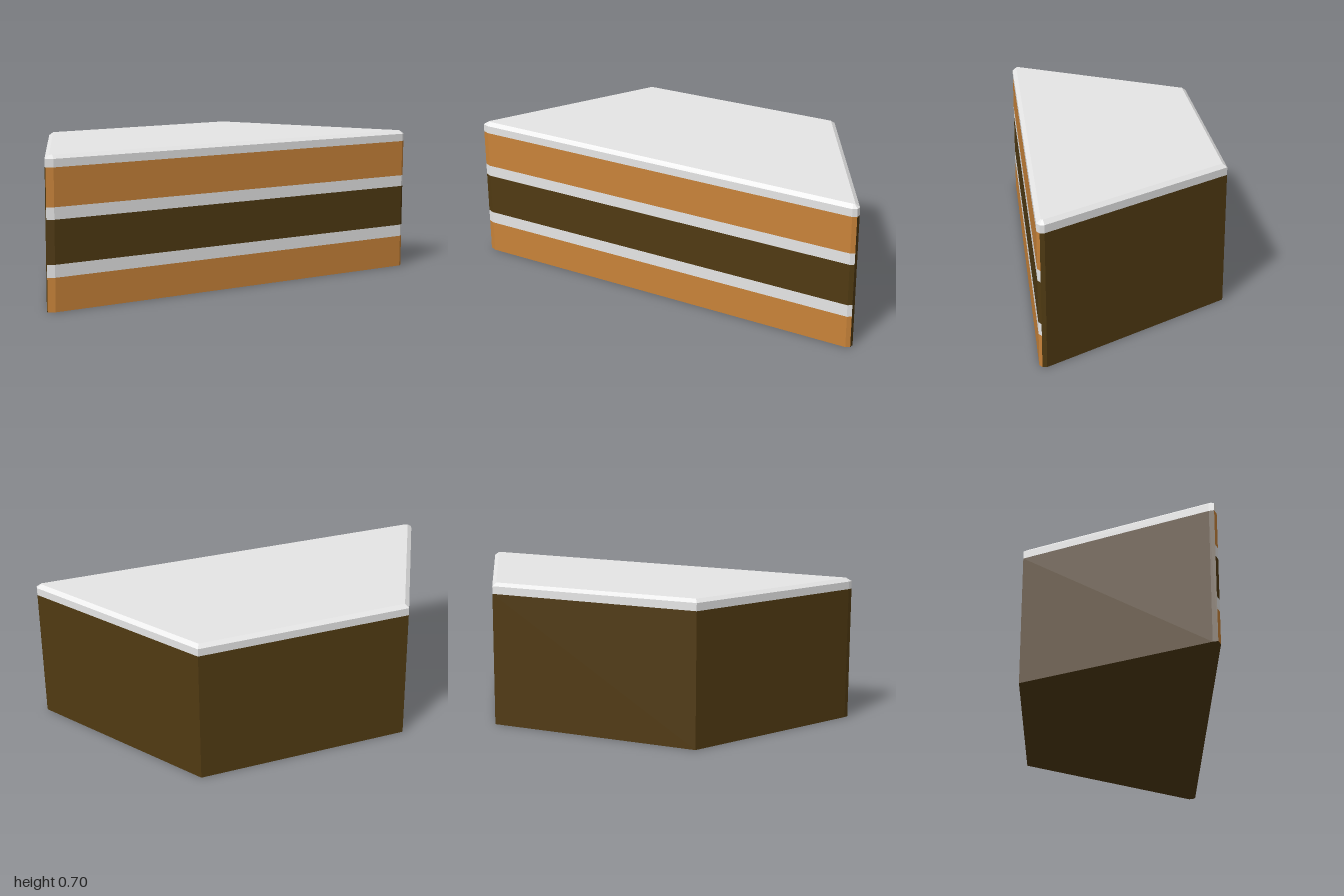
import * as THREE from 'three';

// Plan of the cake slice as [x, z], starting at the right front corner facet
// and running along the cut front to the left corner, then round the back.
const OUTLINE = [
  [1, 0.51], [0.995, 0.53], [0.975, 0.54],
  [-0.97, 0.28], [-1, 0.262], [-0.99, 0.24],
  [-0.445, -0.54], [0.6, -0.42],
];

// Moves every edge of a closed outline inward by d, with mitred corners.
function inset(points, d) {
  const n = points.length;
  const normal = (a, b) => {
    const v = new THREE.Vector2(b[1] - a[1], a[0] - b[0]);
    return v.normalize();
  };
  return points.map((p, i) => {
    const n1 = normal(points[(i + n - 1) % n], p);
    const n2 = normal(p, points[(i + 1) % n]);
    const k = d / (1 + n1.dot(n2));
    return [p[0] - (n1.x + n2.x) * k, p[1] - (n1.y + n2.y) * k];
  });
}

// Flat-sided wall between a lower and an upper path.
function wall(low, y0, high, y1) {
  const out = [];
  for (let i = 0; i < low.length - 1; i++) {
    const a = [low[i][0], y0, low[i][1]];
    const b = [low[i + 1][0], y0, low[i + 1][1]];
    const c = [high[i + 1][0], y1, high[i + 1][1]];
    const d = [high[i][0], y1, high[i][1]];
    out.push(...a, ...d, ...c, ...a, ...c, ...b);
  }
  return out;
}

// Flat polygon facing up or down.
function cap(points, y, up) {
  const out = [];
  for (let i = 1; i < points.length - 1; i++) {
    const order = up ? [0, i + 1, i] : [0, i, i + 1];
    for (const k of order) out.push(points[k][0], y, points[k][1]);
  }
  return out;
}

export function createModel() {
  const group = new THREE.Group();
  group.name = 'cakeSlice';

  const material = (name, color) => {
    const m = new THREE.MeshStandardMaterial({ color });
    m.name = name;
    return m;
  };
  const chocolate = material('chocolate', 0x503a12);
  const sponge = material('sponge', 0xc88339);
  const frosting = material('frosting', 0xe6e6e6);

  const add = (name, positions, mat) => {
    const geometry = new THREE.BufferGeometry();
    geometry.setAttribute('position', new THREE.Float32BufferAttribute(positions, 3));
    geometry.computeVertexNormals();
    const mesh = new THREE.Mesh(geometry, mat);
    mesh.name = name;
    group.add(mesh);
  };

  const loop = [...OUTLINE, OUTLINE[0]];
  const front = loop.slice(1, 5);
  const sides = [...loop.slice(4), OUTLINE[1]];

  // Chocolate coating on the sides, back and base
  add('coating', [...wall(sides, 0, sides, 0.643), ...cap(OUTLINE, 0, false)], chocolate);

  // Layers on the cut front
  const layers = [
    ['lowerSponge', 0, 0.155, sponge],
    ['lowerCream', 0.155, 0.213, frosting],
    ['middleLayer', 0.213, 0.413, chocolate],
    ['upperCream', 0.413, 0.468, frosting],
    ['upperSponge', 0.468, 0.643, sponge],
  ];
  for (const [name, y0, y1, mat] of layers) add(name, wall(front, y0, front, y1), mat);

  // Icing slab with a bevelled top edge
  const top = inset(OUTLINE, 0.02);
  add('icing', [
    ...wall(loop, 0.643, loop, 0.68),
    ...wall(loop, 0.68, [...top, top[0]], 0.696),
    ...cap(top, 0.696, true),
  ], frosting);

  return group;
}
